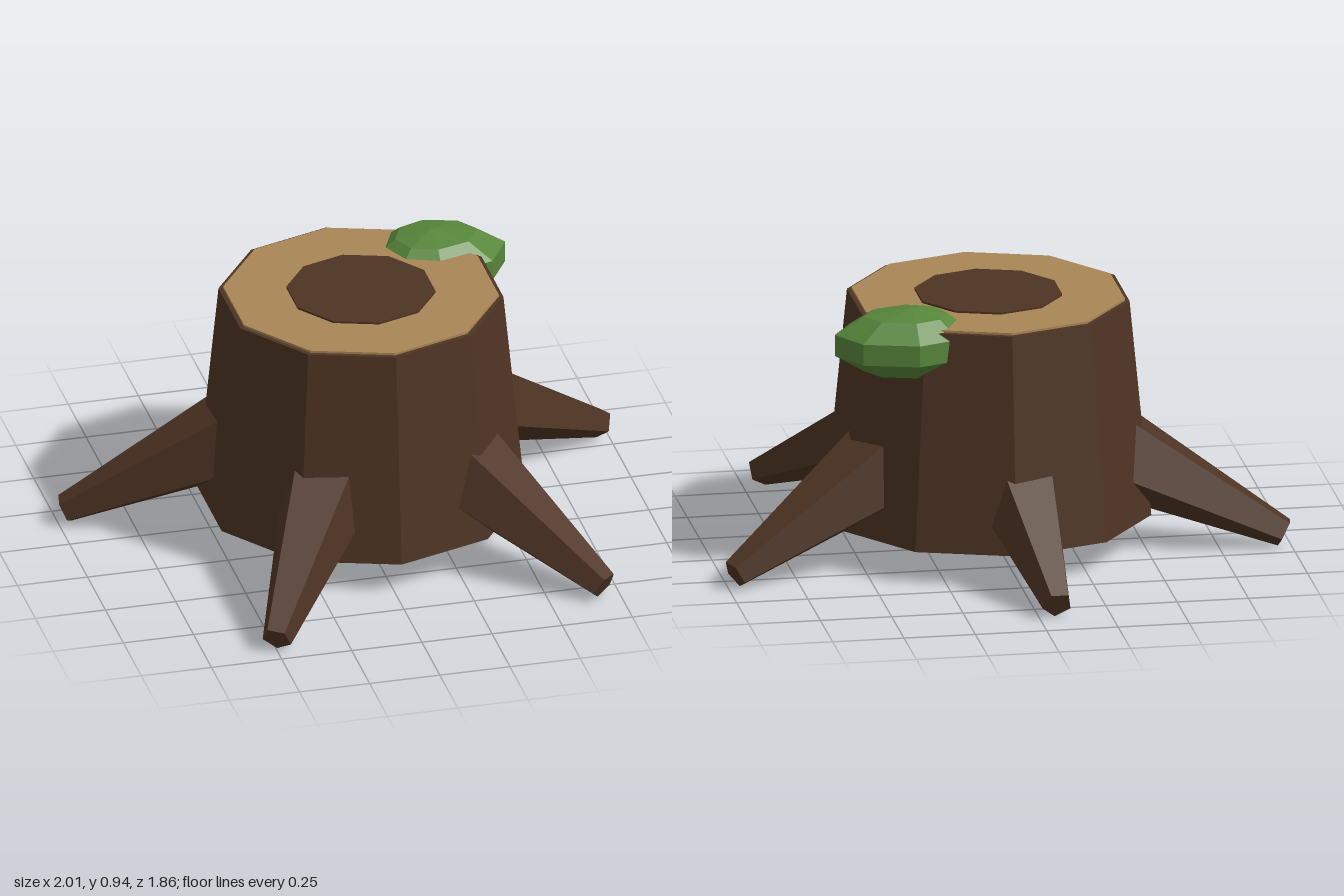
import * as THREE from 'three';

export function createModel() {
  const model = new THREE.Group();
  model.name = 'treeStump';

  const material = (name, color) => {
    const m = new THREE.MeshStandardMaterial({ color });
    m.name = name;
    return m;
  };
  const bark = material('bark', 0x4e3423);
  const wood = material('cutWood', 0xa98657);
  const moss = material('moss', 0x57863a);

  const add = (name, geometry, mat) => {
    const flat = geometry.index ? geometry.toNonIndexed() : geometry;
    flat.computeVertexNormals();
    const mesh = new THREE.Mesh(flat, mat);
    mesh.name = name;
    model.add(mesh);
    return mesh;
  };

  // Trunk, cut face and heartwood: stacked ten-sided discs
  const cx = 0.02, cz = 0.07;
  const disc = (name, rTop, rBottom, y0, y1, mat) =>
    add(name, new THREE.CylinderGeometry(rTop, rBottom, y1 - y0, 10), mat)
      .position.set(cx, (y0 + y1) / 2, cz);
  disc('trunk', 0.493, 0.569, 0.115, 0.886, bark);
  disc('cutFace', 0.477, 0.477, 0.88, 0.894, wood);
  disc('heartwood', 0.258, 0.258, 0.885, 0.901, bark);

  // Roots: five-sided tapers sloping down and outward, [heading in degrees, reach to tip]
  const length = 0.7, tipRadius = 0.053, baseRadius = 0.174, tilt = THREE.MathUtils.degToRad(26);
  [[41, 1.02], [112.5, 1.035], [185, 0.935], [256.6, 1.025], [329, 1.015]].forEach(([heading, reach]) => {
    const geometry = new THREE.CylinderGeometry(tipRadius, baseRadius, length, 5);
    geometry.translate(0, -length / 2, 0);
    geometry.rotateY(THREE.MathUtils.degToRad(-5));
    geometry.rotateX(Math.PI / 2 + tilt);
    geometry.translate(0, tipRadius * Math.cos(tilt), reach);
    geometry.rotateY(THREE.MathUtils.degToRad(heading));
    add('root', geometry, bark).position.set(cx, 0, cz);
  });

  // Moss clump: flattened faceted ball, longer on its outer side
  const clump = new THREE.SphereGeometry(1, 8, 5);
  const p = clump.attributes.position;
  for (let i = 0; i < p.count; i++) {
    const x = p.getX(i);
    p.setXYZ(i, x * (x > 0 ? 0.281 : 0.212), p.getY(i) * 0.122, p.getZ(i) * 0.192);
  }
  add('mossClump', clump, moss).position.set(0.34, 0.823, -0.217);

  return model;
}
